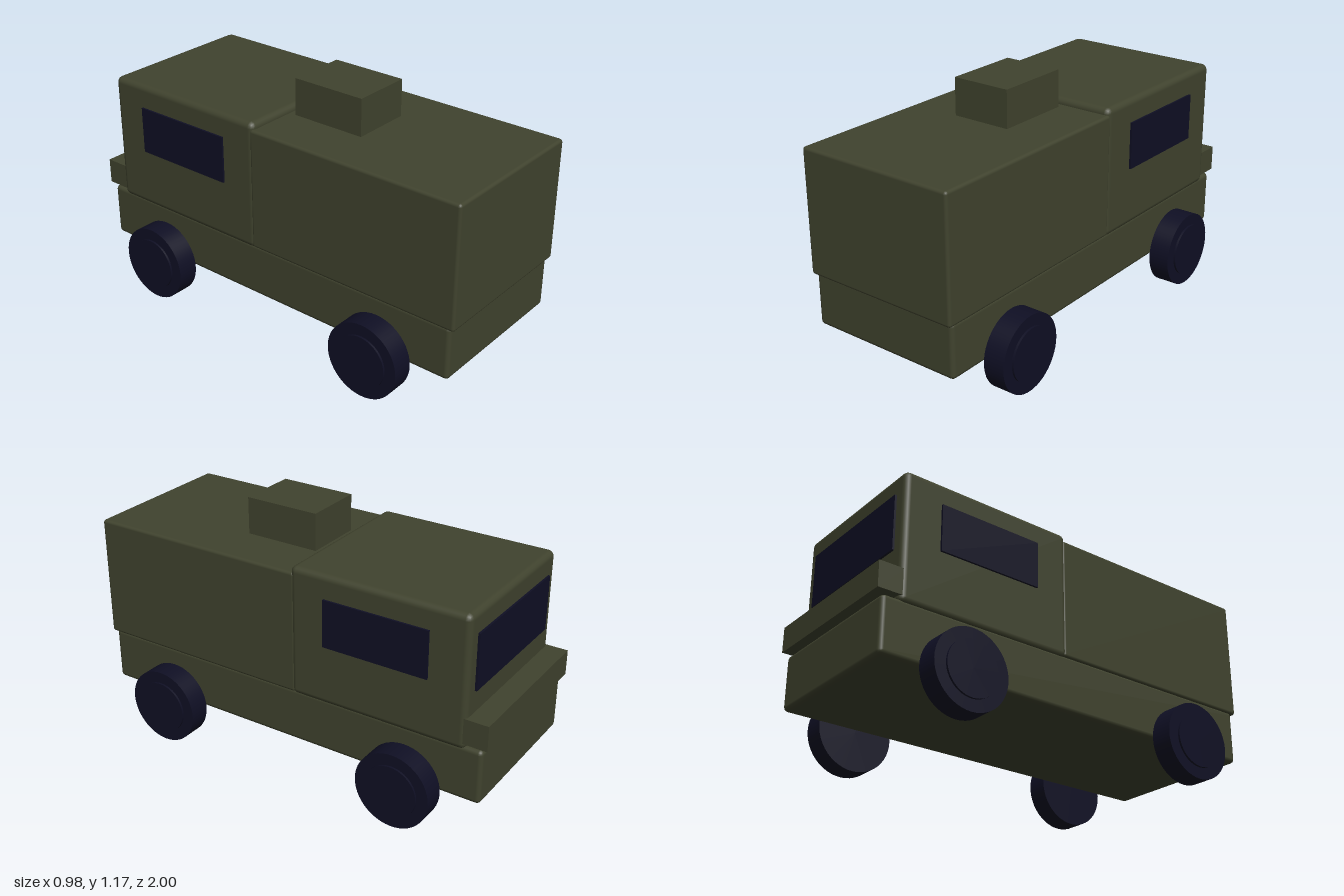
import * as THREE from 'three';
import { RoundedBoxGeometry } from 'three/addons/geometries/RoundedBoxGeometry.js';

const paint = new THREE.MeshStandardMaterial({ name: 'olive paint', color: 0x40432e });
const dark = new THREE.MeshStandardMaterial({ name: 'dark rubber and glass', color: 0x0f0f24 });

export function createModel() {
  const model = new THREE.Group();
  model.name = 'truck';

  // Box given by its min and max corners, with an optional rounded edge
  function box(name, material, [x0, y0, z0], [x1, y1, z1], radius = 0) {
    const size = [x1 - x0, y1 - y0, z1 - z0];
    const geometry = radius
      ? new RoundedBoxGeometry(...size, 2, radius)
      : new THREE.BoxGeometry(...size);
    const mesh = new THREE.Mesh(geometry, material);
    mesh.name = name;
    mesh.position.set((x0 + x1) / 2, (y0 + y1) / 2, (z0 + z1) / 2);
    model.add(mesh);
  }

  // Body
  box('chassis', paint, [-0.377, 0.182, -0.977], [0.377, 0.437, 0.98], 0.02);
  box('cargoBody', paint, [-0.384, 0.427, -0.07], [0.384, 0.998, 1], 0.014);
  box('cab', paint, [-0.386, 0.42, -0.9], [0.386, 1.028, -0.05], 0.028);
  box('roofUnit', paint, [-0.141, 0.97, -0.017], [0.141, 1.17, 0.341]);
  box('bumper', paint, [-0.381, 0.452, -1], [0.381, 0.57, -0.88]);

  // Windows
  box('windscreen', dark, [-0.323, 0.674, -0.9095], [0.323, 0.931, -0.9]);
  for (const side of [-1, 1]) {
    const x = side * 0.392;
    box(side > 0 ? 'leftWindow' : 'rightWindow', dark,
      [x - 0.0048, 0.702, -0.722], [x + 0.0048, 0.921, -0.221]);
  }

  // Wheels: a tyre with a slightly raised hub
  function disc(name, radius, width) {
    const mesh = new THREE.Mesh(new THREE.CylinderGeometry(radius, radius, width, 48), dark);
    mesh.name = name;
    mesh.rotation.z = Math.PI / 2;
    return mesh;
  }
  for (const side of [-1, 1]) {
    for (const z of [-0.62, 0.62]) {
      const wheel = new THREE.Group();
      wheel.name = (z > 0 ? 'front' : 'rear') + (side > 0 ? 'Left' : 'Right') + 'Wheel';
      const hub = disc('hub', 0.123, 0.11);
      hub.position.x = side * 0.005;
      wheel.add(disc('tyre', 0.177, 0.101), hub);
      wheel.position.set(side * 0.43, 0.177, z);
      model.add(wheel);
    }
  }
  return model;
}
